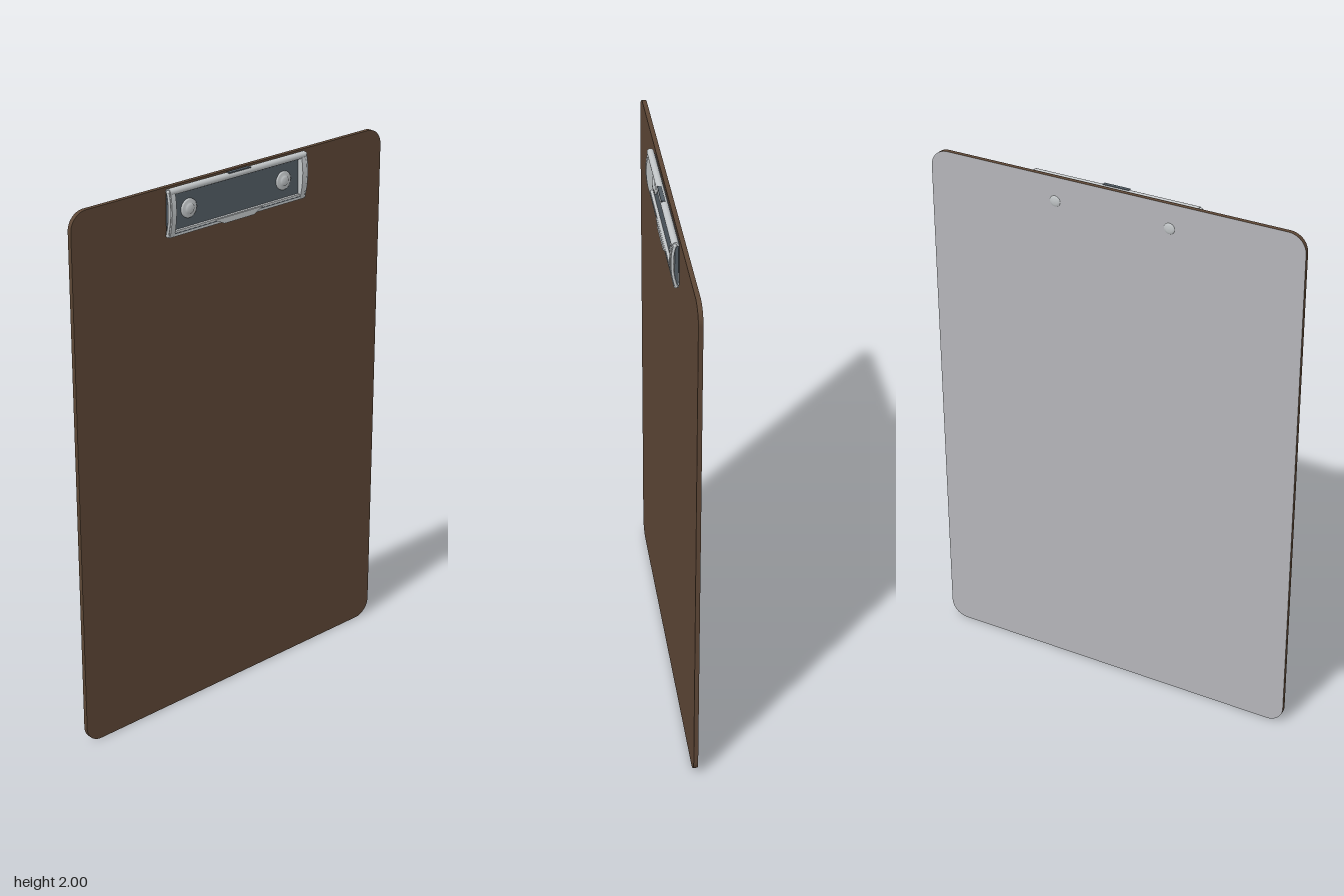
import * as THREE from 'three';

const material = (name, color, side = THREE.FrontSide) => {
  const m = new THREE.MeshStandardMaterial({ color, side });
  m.name = name;
  return m;
};

export function createModel() {
  const group = new THREE.Group();
  const brown = material('brown board', 0x5c4635);
  const backing = material('grey backing', 0xb4b5b9);
  const steel = material('light steel', 0xc2c6c8);
  const dark = material('dark steel', 0x525c64);

  const add = (name, geometry, mat, x = 0, y = 0, z = 0) => {
    const mesh = new THREE.Mesh(geometry, mat);
    mesh.name = name;
    mesh.position.set(x, y, z);
    group.add(mesh);
    return mesh;
  };

  // Rounded board outline
  const w = 0.718, h = 2, r = 0.065;
  const outline = new THREE.Shape();
  outline.absarc(w - r, r, r, -Math.PI / 2, 0);
  outline.absarc(w - r, h - r, r, 0, Math.PI / 2);
  outline.absarc(-w + r, h - r, r, Math.PI / 2, Math.PI);
  outline.absarc(-w + r, r, r, Math.PI, Math.PI * 1.5);
  outline.closePath();
  add('board', new THREE.ExtrudeGeometry(outline,
    { depth: 0.016, bevelEnabled: false, curveSegments: 10 }), brown, 0, 0, -0.022);
  add('backFace', new THREE.ShapeGeometry(outline, 10).rotateY(Math.PI), backing, 0, 0, -0.0225);

  // Recessed clip plate
  add('clipPlate', new THREE.BoxGeometry(0.6, 0.15, 0.009), dark, 0, 1.91, -0.001);

  // Rolled hinge along the top, with the slot in its middle
  add('hingeRoll', new THREE.CylinderGeometry(0.0125, 0.0125, 0.63, 20).rotateZ(Math.PI / 2),
    steel, 0, 1.986, 0.0095);
  add('hingeSlot', new THREE.BoxGeometry(0.1, 0.004, 0.014), dark, 0, 1.998, 0.0135);

  // Bowed side flanges, profile drawn as (z, y)
  const flange = new THREE.Shape();
  flange.moveTo(-0.004, 1.835);
  flange.lineTo(0.014, 1.828);
  flange.quadraticCurveTo(0.038, 1.915, 0.018, 1.992);
  flange.lineTo(-0.002, 1.99);
  flange.closePath();
  const flangeGeometry = new THREE.ExtrudeGeometry(flange,
    { depth: 0.02, bevelEnabled: false, curveSegments: 10 }).rotateY(-Math.PI / 2);

  // Jaw bar along the bottom with a dipped centre lip
  const bar = new THREE.Shape([
    [-0.315, 1.827], [-0.11, 1.827], [0.11, 1.827], [0.315, 1.827],
    [0.315, 1.846], [-0.315, 1.846],
  ].map(([x, y]) => new THREE.Vector2(x, y)));
  add('jawBar', new THREE.ExtrudeGeometry(bar, { depth: 0.017, bevelEnabled: false }),
    steel, 0, 0, -0.003);
  const lip = new THREE.Shape([
    [-0.11, 1.844], [-0.07, 1.823], [0.07, 1.823], [0.11, 1.844],
  ].map(([x, y]) => new THREE.Vector2(x, y)));
  add('jawLip', new THREE.ExtrudeGeometry(lip, { depth: 0.004, bevelEnabled: false }),
    steel, 0, 0, 0.014);
  add('jawCrease', new THREE.BoxGeometry(0.63, 0.003, 0.002), dark, 0, 1.837, 0.0138);

  // Front rivet heads: flange ring and raised dome
  const rivet = new THREE.LatheGeometry([
    [0.034, 0], [0.034, 0.004], [0.03, 0.007], [0.02, 0.006],
    [0.018, 0.01], [0.01, 0.012], [0, 0.0125],
  ].map(([x, y]) => new THREE.Vector2(x, y)), 24).rotateX(Math.PI / 2);
  const backRivet = new THREE.LatheGeometry([
    [0.021, 0], [0.019, 0.003], [0.011, 0.0055], [0, 0.006],
  ].map(([x, y]) => new THREE.Vector2(x, y)), 20).rotateX(-Math.PI / 2);

  for (const s of [-1, 1]) {
    const side = s > 0 ? 'left' : 'right';
    add(side + 'Flange', flangeGeometry, steel, s > 0 ? 0.313 : -0.293);
    add(side + 'FlangeShadowLine', new THREE.BoxGeometry(0.004, 0.15, 0.012), dark, s * 0.315, 1.91, 0.006);
    // Spring wire and its end knobs
    const wire = new THREE.CatmullRomCurve3([
      [1.835, 0.008], [1.875, 0.017], [1.92, 0.02], [1.96, 0.018], [1.988, 0.012],
    ].map(([y, z]) => new THREE.Vector3(s * 0.319, y, z)));
    add(side + 'SpringWire', new THREE.TubeGeometry(wire, 16, 0.005, 8), steel);
    for (const [y, z] of [[1.835, 0.008], [1.988, 0.012]]) {
      add(side + 'WireKnob', new THREE.SphereGeometry(0.007, 10, 8), steel, s * 0.318, y, z);
    }
    add(side + 'Rivet', rivet, steel, s * 0.22, 1.91, 0.0035);
    add(side + 'BackRivet', backRivet, steel, s * 0.22, 1.91, -0.0215);
  }
  return group;
}
